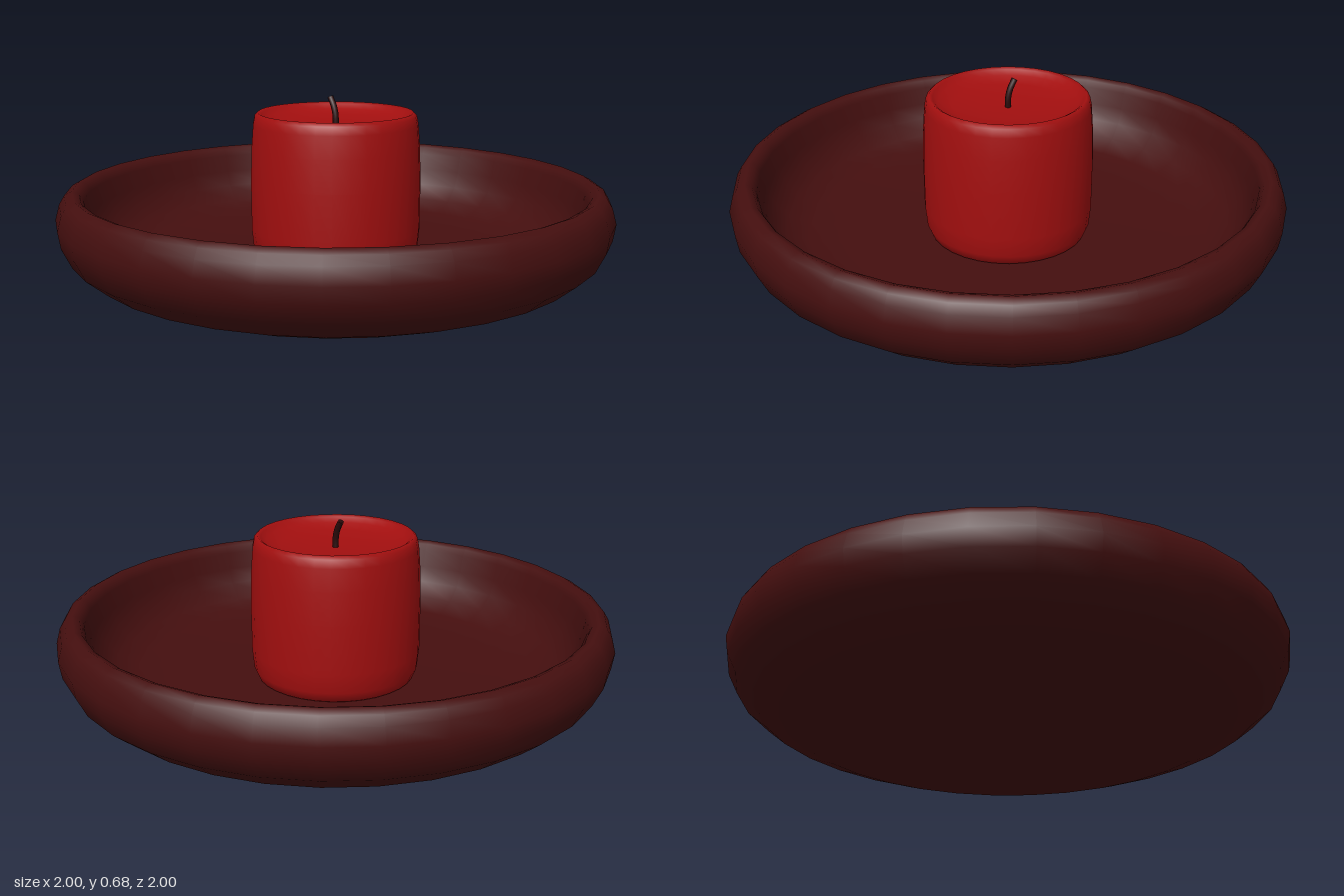
import * as THREE from 'three';

const material = (name, color) => {
  const m = new THREE.MeshStandardMaterial({ color });
  m.name = name;
  return m;
};

// Smooth turned part from [radius, height] pairs, listed from the bottom centre outwards and up
function turned(name, profile, sides, mat) {
  const points = profile.map(([r, y]) => new THREE.Vector2(r, y));
  const mesh = new THREE.Mesh(new THREE.LatheGeometry(points, sides), mat);
  mesh.name = name;
  return mesh;
}

export function createModel() {
  const model = new THREE.Group();
  model.name = 'candleOnDish';

  const dishMat = material('dark red glaze', 0x450f0f);
  const waxMat = material('red wax', 0xa30f0f);
  const wickMat = material('charred wick', 0x2a0a0a);

  // Shallow dish with a rounded rim and curved inner wall
  model.add(turned('dish', [
    [0, 0], [0.4, 0.002], [0.6, 0.01], [0.77, 0.03], [0.88, 0.07], [0.955, 0.13],
    [0.99, 0.2], [1, 0.26], [0.985, 0.315], [0.967, 0.345], [0.94, 0.36],
    [0.915, 0.35], [0.9, 0.325], [0.885, 0.26], [0.86, 0.2], [0.81, 0.145],
    [0.73, 0.112], [0.6, 0.098], [0.3, 0.09], [0, 0.088],
  ], 32, dishMat));

  // Candle with softened edges and a slightly melted, hollow top
  model.add(turned('candle', [
    [0, 0.08], [0.26, 0.08], [0.285, 0.095], [0.3, 0.13], [0.307, 0.2], [0.308, 0.38],
    [0.304, 0.5], [0.298, 0.58], [0.292, 0.61], [0.28, 0.622], [0.268, 0.615],
    [0.25, 0.598], [0.2, 0.583], [0.1, 0.575], [0, 0.573],
  ], 32, waxMat));

  // Bent wick with a flat tip
  const path = new THREE.CatmullRomCurve3([
    new THREE.Vector3(0, 0.56, 0), new THREE.Vector3(0, 0.605, 0),
    new THREE.Vector3(-0.009, 0.64, 0), new THREE.Vector3(-0.028, 0.673, 0),
  ]);
  const wick = new THREE.Mesh(new THREE.TubeGeometry(path, 10, 0.011, 8), wickMat);
  wick.name = 'wick';
  model.add(wick);

  const tip = new THREE.Mesh(new THREE.CircleGeometry(0.011, 8), wickMat);
  tip.name = 'wickTip';
  tip.position.copy(path.getPoint(1));
  tip.quaternion.setFromUnitVectors(new THREE.Vector3(0, 0, 1), path.getTangent(1));
  model.add(tip);

  return model;
}
